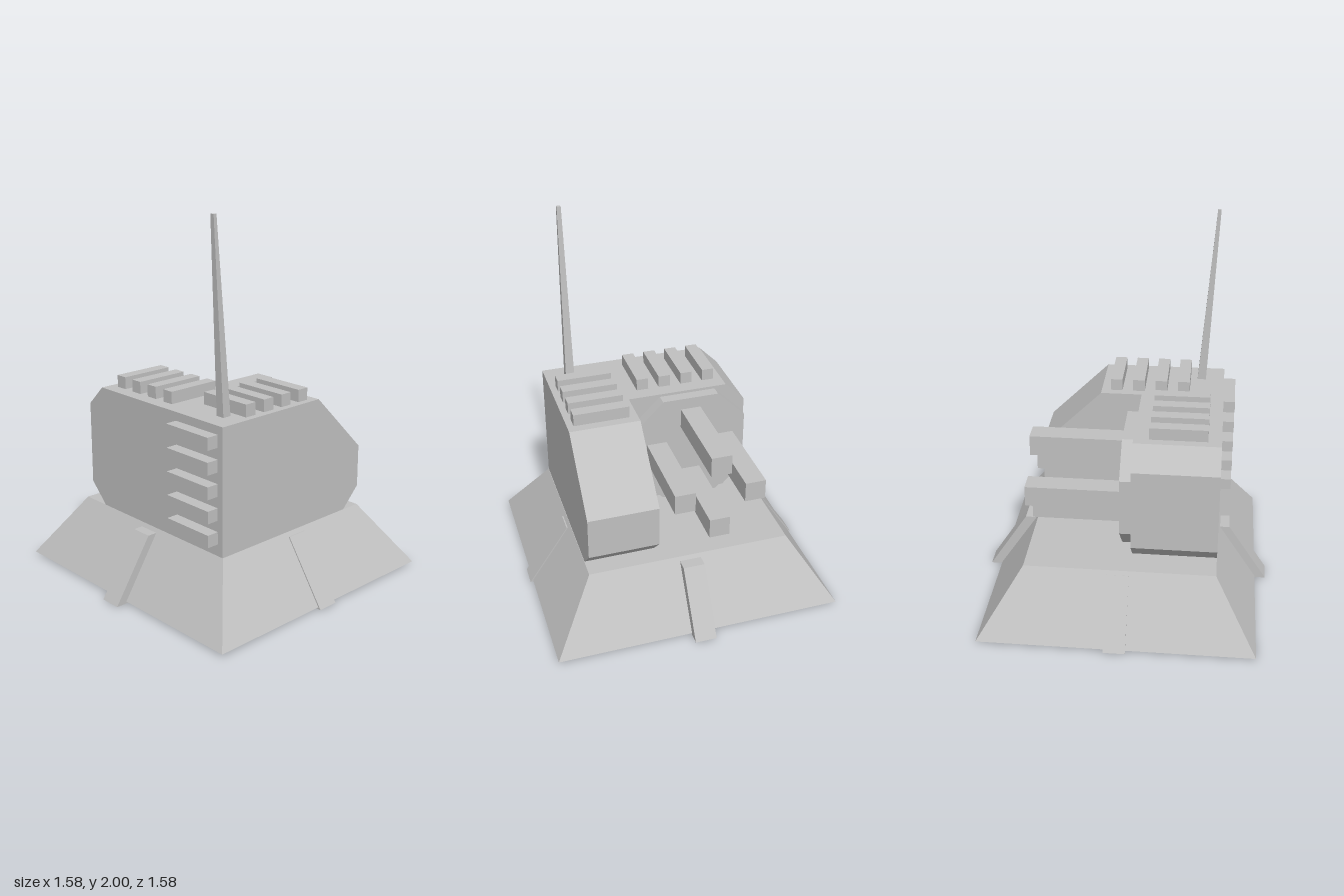
import * as THREE from 'three';

export function createModel() {
  const model = new THREE.Group();
  model.name = 'turret';
  const grey = new THREE.MeshStandardMaterial({ color: 0xc0c0c0 });
  grey.name = 'plain grey';

  const add = (name, geometry, parent = model) => {
    const mesh = new THREE.Mesh(geometry, grey);
    mesh.name = name;
    parent.add(mesh);
    return mesh;
  };
  const group = (name) => {
    const g = new THREE.Group();
    g.name = name;
    model.add(g);
    return g;
  };
  // box given by its limits on each axis
  const block = (x0, x1, y0, y1, z0, z1) =>
    new THREE.BoxGeometry(x1 - x0, y1 - y0, z1 - z0)
      .translate((x0 + x1) / 2, (y0 + y1) / 2, (z0 + z1) / 2);
  // block between a lower and an upper rectangle [x0, x1, z0, z1]
  const taper = (y0, lower, y1, upper) => {
    const g = new THREE.BoxGeometry(1, 1, 1);
    const p = g.attributes.position;
    for (let i = 0; i < p.count; i++) {
      const r = p.getY(i) < 0 ? lower : upper;
      p.setXYZ(i, p.getX(i) < 0 ? r[0] : r[1], p.getY(i) < 0 ? y0 : y1, p.getZ(i) < 0 ? r[2] : r[3]);
    }
    g.computeVertexNormals();
    return g;
  };
  const extrude = (points, depth) => new THREE.ExtrudeGeometry(
    new THREE.Shape(points.map(([a, b]) => new THREE.Vector2(a, b))), { depth, bevelEnabled: false });
  // (x, y) profile swept along z, and (z, y) profile swept along x
  const alongZ = (points, z0, z1) => extrude(points, z1 - z0).translate(0, 0, z0);
  const alongX = (points, x0, x1) => extrude(points, x1 - x0).rotateY(-Math.PI / 2).translate(x1, 0, 0);

  // sloped base with two crossing rails under it
  add('base', taper(0.01, [-0.775, 0.775, -0.727, 0.73], 0.35, [-0.553, 0.547, -0.5, 0.51]));
  const rail = (foot, top) => [[-foot, 0], [foot, 0], [top, 0.33], [-top, 0.33]];
  add('sideRail', alongZ(rail(0.79, 0.567), -0.058, 0.058));
  add('frontRail', alongX(rail(0.79, 0.575), -0.06, 0.056));

  // L-shaped housing
  add('gunHousing', alongZ([
    [-0.39, 0.35], [0.165, 0.35], [0.165, 1.02], [-0.39, 1.02], [-0.5, 0.91], [-0.5, 0.46],
  ], 0.06, 0.51));
  add('sideHousing', alongX([
    [0.51, 0.35], [0.51, 1.02], [-0.165, 1.02], [-0.5, 0.69], [-0.5, 0.46], [-0.39, 0.35],
  ], 0.165, 0.545));

  // eight-sided gun mount with four barrels
  const cx = -0.167, cy = 0.69, R = 0.315, f = 0.157;
  add('gunMount', alongZ([
    [-f, -R], [f, -R], [R, -f], [R, f], [f, R], [-f, R], [-R, f], [-R, -f],
  ].map(([x, y]) => [cx + x, cy + y]), 0, 0.06));
  const barrels = group('barrels');
  for (const [dx, dy] of [[0, 1], [0, -1], [1, 0], [-1, 0]]) {
    const x = cx + dx * 0.193, y = cy + dy * 0.195;
    add('barrel', block(x - 0.056, x + 0.056, y - 0.056, y + 0.056, -0.5, 0), barrels);
  }

  // cooling fins on the roof and the front
  const fins = group('fins');
  for (let i = 0; i < 4; i++) {
    const x = -0.343 + i * 0.125, z = -0.115 + i * 0.124;
    add('gunRoofFin', block(x, x + 0.065, 1.02, 1.085, 0.14, 0.44), fins);
    add('sideRoofFin', block(0.21, 0.51, 1.02, 1.085, z, z + 0.065), fins);
  }
  for (let i = 0; i < 5; i++) {
    const y = 0.412 + i * 0.1245;
    add('frontFin', block(0.21, 0.51, y, y + 0.065, 0.51, 0.575), fins);
  }

  // leaning antenna
  add('antenna', taper(1.02, [0.393, 0.441, 0.36, 0.407], 2, [0.405, 0.427, 0.438, 0.456]));

  return model;
}
